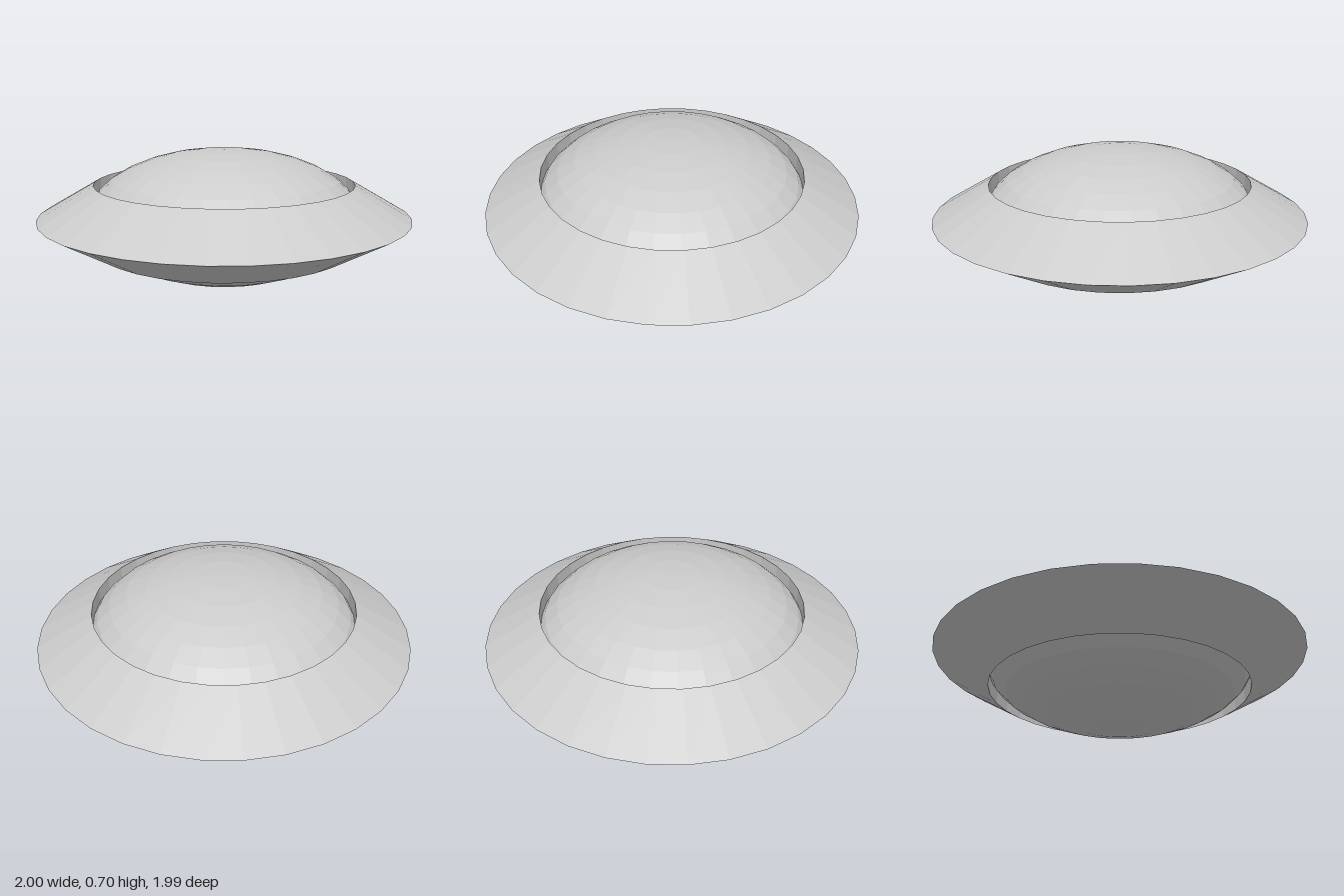
import * as THREE from 'three';

export function createModel() {
  const model = new THREE.Group();
  model.name = 'flyingSaucer';
  const material = new THREE.MeshStandardMaterial({ color: 0xcccccc, flatShading: true });
  const midHeight = 0.35;

  const addPart = (name, geometry) => {
    const mesh = new THREE.Mesh(geometry, material);
    mesh.name = name;
    mesh.position.y = midHeight;
    model.add(mesh);
  };

  // Flattened hull, bulging above and below the rim
  addPart('hull', new THREE.SphereGeometry(0.73, 32, 16).scale(1, 0.35 / 0.73, 1));

  // Sharp rim: a ring with a triangular section, point outward
  addPart('rim', new THREE.TorusGeometry(0.8, 0.2, 3, 34).rotateX(-Math.PI / 2));

  return model;
}
